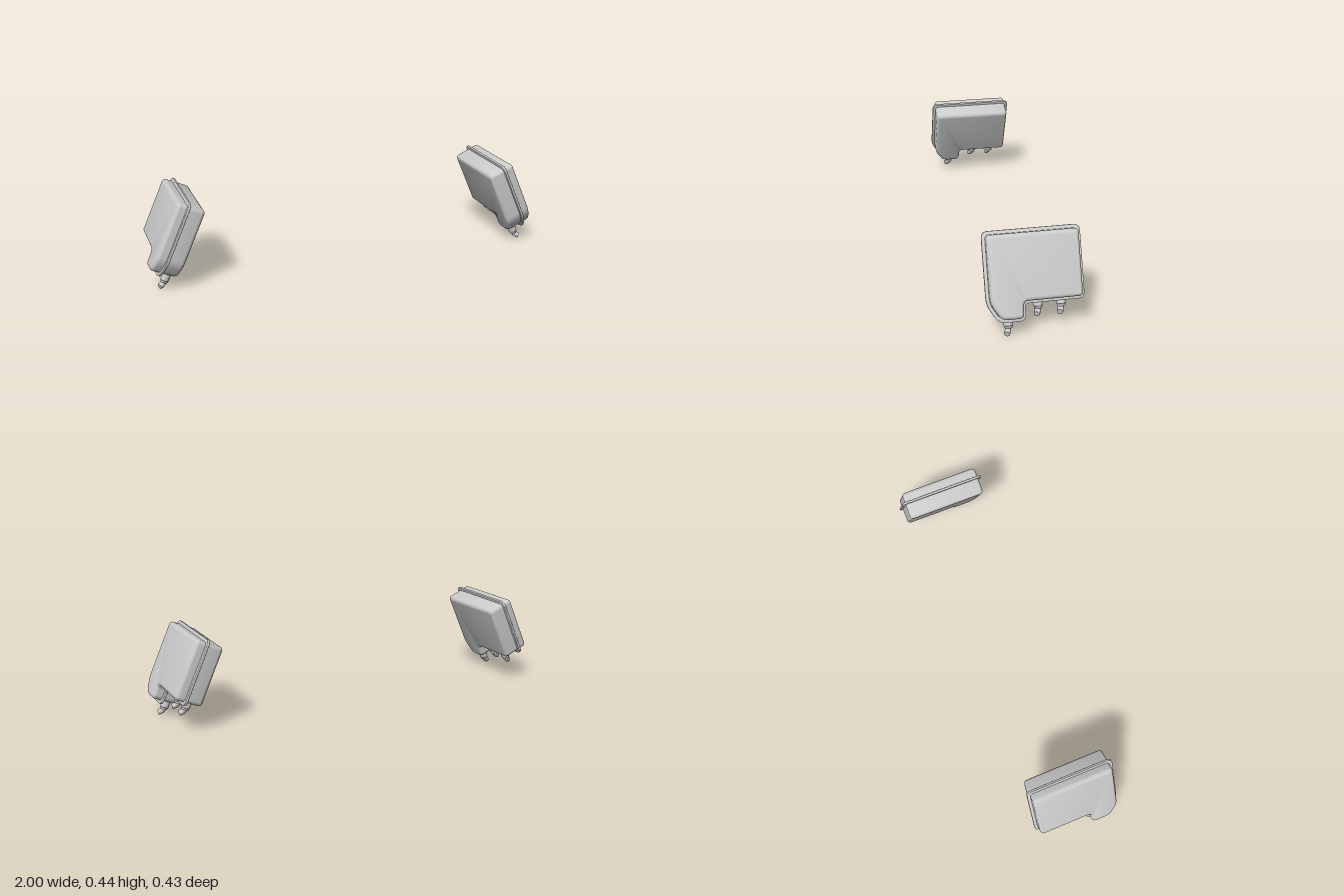
import * as THREE from 'three';
import { toCreasedNormals } from 'three/addons/utils/BufferGeometryUtils.js';

const TILT = THREE.MathUtils.degToRad(24);
const material = new THREE.MeshStandardMaterial({ color: 0xcccccc });

// Side outline of the tank as [z, height along the tank, corner radius]
const BODY = [
  [0.2, 0.055, 0.02], [0.2, -0.237, 0.025], [0.157, -0.308, 0.03], [0.06, -0.308, 0.025],
  [0.06, -0.235, 0.025], [-0.2, -0.235, 0.02], [-0.2, 0.055, 0.02],
];
const FLANGE = [
  [0.215, 0.07, 0.03], [0.215, -0.241, 0.03], [0.165, -0.324, 0.035], [0.046, -0.324, 0.03],
  [0.046, -0.25, 0.015], [-0.215, -0.25, 0.03], [-0.215, 0.07, 0.03],
];

// Closed shape with rounded corners; shape x is -z
function roundedShape(outline) {
  const pts = outline.map(([z, u]) => new THREE.Vector2(-z, u));
  const shape = new THREE.Shape();
  pts.forEach((p, i) => {
    const prev = pts[(i + pts.length - 1) % pts.length];
    const next = pts[(i + 1) % pts.length];
    const r = outline[i][2];
    const a = prev.clone().sub(p).setLength(r).add(p);
    const b = next.clone().sub(p).setLength(r).add(p);
    if (i === 0) shape.moveTo(a.x, a.y);
    else shape.lineTo(a.x, a.y);
    shape.quadraticCurveTo(p.x, p.y, b.x, b.y);
  });
  shape.closePath();
  return shape;
}

// Slab with rounded rims, centred on x = centre, thickness along x
function slab(name, outline, centre, thickness, bevel) {
  const geo = new THREE.ExtrudeGeometry(roundedShape(outline), {
    depth: thickness - 2 * bevel, curveSegments: 8,
    bevelSize: bevel, bevelThickness: bevel, bevelOffset: -bevel, bevelSegments: 5,
  });
  geo.translate(0, 0, bevel - thickness / 2).rotateY(Math.PI / 2).translate(centre, 0, 0);
  return named(name, toCreasedNormals(geo, 0.6));
}

function named(name, geo) {
  const mesh = new THREE.Mesh(geo, material);
  mesh.name = name;
  return mesh;
}

// Stepped collar with a short bent pipe, hanging below the origin
function makeNozzle(side) {
  const nozzle = new THREE.Group();
  nozzle.name = 'nozzle';

  const profile = [
    [0.0205, 0.012], [0.0205, -0.034], [0.019, -0.036], [0.0175, -0.036],
    [0.0175, -0.044], [0.016, -0.046], [0, -0.046],
  ].map(([r, y]) => new THREE.Vector2(r, y)).reverse();
  nozzle.add(named('collar', toCreasedNormals(new THREE.LatheGeometry(profile, 24), 0.6)));

  const path = new THREE.QuadraticBezierCurve3(
    new THREE.Vector3(0, -0.036, 0),
    new THREE.Vector3(0, -0.058, 0.003),
    new THREE.Vector3(side * 0.014, -0.069, 0.011),
  );
  nozzle.add(named('elbow', new THREE.TubeGeometry(path, 10, 0.0135, 20)));

  const cap = named('elbowEnd', new THREE.CircleGeometry(0.0135, 20));
  cap.position.copy(path.getPoint(1));
  cap.quaternion.setFromUnitVectors(new THREE.Vector3(0, 0, 1), path.getTangent(1));
  nozzle.add(cap);
  return nozzle;
}

// One tank, leaning inward at the top; side is +1 (left) or -1 (right)
function makeTank(side) {
  const tank = new THREE.Group();
  tank.name = side > 0 ? 'leftTank' : 'rightTank';
  tank.add(slab('tankBody', BODY, side * 0.8935, 0.139, 0.018));
  tank.add(slab('seamFlange', FLANGE, side * 0.91, 0.012, 0.002));

  for (const [z, u] of [[0.118, -0.308], [-0.018, -0.235], [-0.12, -0.235]]) {
    const nozzle = makeNozzle(side);
    nozzle.position.set(side * 0.866, u, z);
    tank.add(nozzle);
  }
  tank.rotation.z = side * TILT;
  return tank;
}

export function createModel() {
  const model = new THREE.Group();
  model.name = 'tankPair';
  model.add(makeTank(1), makeTank(-1));
  return model;
}
